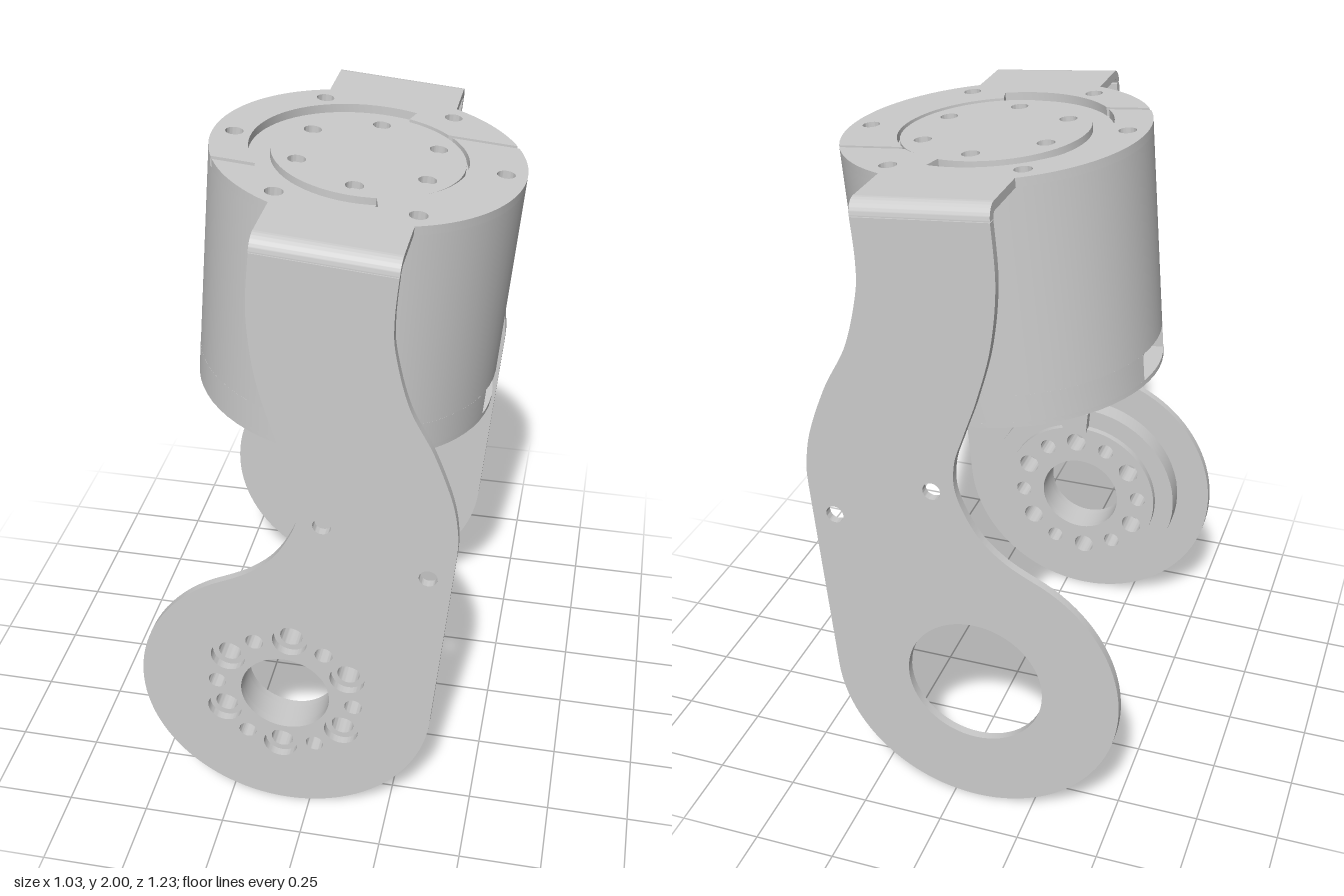
import * as THREE from 'three';
import { toCreasedNormals } from 'three/addons/utils/BufferGeometryUtils.js';

const material = new THREE.MeshStandardMaterial({ color: 0xcccccc });
const T = 0.026;                        // sheet thickness
const OUT = 0.613;                      // outer face of the side arms
const BEND = 0.043;                     // outer bend radius
const R = 0.45;                         // housing radius
const HALF = 0.195;                     // half width of the strap
const HUB = new THREE.Vector2(-0.07, 0.447);
const rad = THREE.MathUtils.degToRad;

const polar = (r, a, c = new THREE.Vector2()) =>
  new THREE.Vector2(c.x + r * Math.cos(a), c.y + r * Math.sin(a));

function arc(r, a0, a1, c, n = 32) {
  return Array.from({ length: n + 1 }, (_, i) => polar(r, a0 + (a1 - a0) * i / n, c));
}

function circle(r, c = new THREE.Vector2(), Type = THREE.Shape) {
  return new Type().absarc(c.x, c.y, r, 0, Math.PI * 2, false);
}

// Cuts round holes at the given angles (degrees) on a bolt circle
function drill(shape, r, boltR, angles, c) {
  for (const a of angles) shape.holes.push(circle(r, polar(boltR, rad(a), c), THREE.Path));
  return shape;
}

function slab(shape, depth) {
  return new THREE.ExtrudeGeometry(shape, { depth, bevelEnabled: false, curveSegments: 32 });
}

function add(parent, name, geometry) {
  const mesh = new THREE.Mesh(toCreasedNormals(geometry, 0.5), material);
  mesh.name = name;
  parent.add(mesh);
  return mesh;
}

// Slab lying flat between two heights
function layer(parent, name, shape, y0, y1) {
  return add(parent, name, slab(shape, y1 - y0).rotateX(-Math.PI / 2).translate(0, y0, 0));
}

// Outline of a side arm: curved neck running down to a round lobe
function armShape() {
  const v = (x, y) => new THREE.Vector2(x, y);
  const s = new THREE.Shape().moveTo(-0.133, 1.934);
  s.splineThru([v(-0.146, 1.76), v(-0.13, 1.58), v(-0.09, 1.42), v(-0.05, 1.30), v(-0.02, 1.20),
    v(-0.025, 1.10), v(-0.085, 0.98), v(-0.17, 0.90), polar(0.447, rad(118), HUB)]);
  s.absarc(HUB.x, HUB.y, 0.447, rad(118), rad(355), false);
  s.lineTo(0.433, 1.05);
  s.splineThru([v(0.434, 1.12), v(0.415, 1.23), v(0.36, 1.38), v(0.29, 1.52), v(0.25, 1.68),
    v(0.245, 1.78), v(0.255, 1.90)]);
  s.closePath();
  s.holes.push(circle(0.027, v(0.05, 1.10), THREE.Path), circle(0.027, v(0.355, 0.96), THREE.Path));
  return s;
}

// Half of the split top plate with its strap; slits at heights yR and yL
function topHalf(yR, yL, mirror, holeAngles) {
  const step = rad(75.5), inner = 0.285, outer = 0.34, strap = Math.acos(HALF / R);
  const pts = [
    ...arc(R, Math.asin(yR / R), strap),
    new THREE.Vector2(HALF, OUT - BEND), new THREE.Vector2(-HALF, OUT - BEND),
    ...arc(R, Math.PI - strap, Math.PI - Math.asin(yL / R)),
    ...arc(outer, Math.PI - Math.asin(yL / outer), step),
    ...arc(inner, step, Math.asin(yR / inner)),
  ];
  if (mirror) pts.forEach(p => { p.y *= -1; });
  return drill(new THREE.Shape(pts), 0.026, 0.39, holeAngles);
}

// Housing outline with pockets, each given as [angle, half width]
function pocketShape() {
  const pockets = [[-Math.PI / 2, 0.065], [0, 0.115], [Math.PI, 0.115]];
  const pts = [];
  pockets.forEach(([a, w], i) => {
    const h = Math.asin(w / R);
    const [na, nw] = pockets[i + 1] || [Math.PI * 1.5, pockets[0][1]];
    for (const side of [-w, w]) pts.push(new THREE.Vector2(0.39, side).rotateAround(new THREE.Vector2(), a));
    pts.push(...arc(R, a + h, na - Math.asin(nw / R)));
  });
  return new THREE.Shape(pts);
}

export function createModel() {
  const model = new THREE.Group();
  model.name = 'jointBracket';

  // Tilted motor housing and top plate
  const head = new THREE.Group();
  head.name = 'head';
  head.position.set(0.065, 1.962, 0);
  head.rotation.z = rad(-5);
  model.add(head);

  layer(head, 'housingBase', drill(circle(R), 0.02, 0.29, [180, 60, -60]), -0.735, -0.72);
  layer(head, 'housingPockets', pocketShape(), -0.72, -0.635);
  layer(head, 'housing', circle(R), -0.635, -T);
  layer(head, 'outputDisc', drill(circle(0.277), 0.026, 0.213, [30, 90, 150, 210, 270, 330]), -T, -0.005);
  layer(head, 'topPlateBack', topHalf(0.205, -0.187, false, [60, 120, 180]), -T, 0);
  layer(head, 'topPlateFront', topHalf(-0.19, 0.205, true, [0, -60, -120]), -T, 0);

  // Rounded bends from the strap into the arms
  for (const side of [1, -1]) {
    const bend = new THREE.Shape([
      ...arc(BEND, 0, Math.PI / 2), ...arc(BEND - T, Math.PI / 2, 0),
    ]);
    const g = slab(bend, HALF * 2).translate(0, 0, -HALF).rotateY(-side * Math.PI / 2);
    add(head, side > 0 ? 'frontBend' : 'backBend', g.translate(0, -BEND, side * (OUT - BEND)));
  }

  // Side arms: bolt pattern in front, plain bearing hole behind
  const large = [85, 145, 205, 265, 325, 25], small = large.map(a => a + 30);
  const front = armShape(), back = armShape();
  front.holes.push(circle(0.137, HUB, THREE.Path));
  drill(front, 0.053, 0.212, large, HUB);
  drill(front, 0.027, 0.212, small, HUB);
  back.holes.push(circle(0.212, HUB, THREE.Path));
  add(model, 'frontArm', slab(front, T)).position.z = OUT - T;
  add(model, 'backArm', slab(back, T)).position.z = -OUT;

  // Stepped flange inside the front arm
  const flange = (name, r, z0, z1) => {
    const s = circle(r, HUB);
    s.holes.push(circle(0.137, HUB, THREE.Path));
    drill(s, 0.034, 0.212, large, HUB);
    drill(s, 0.027, 0.212, small, HUB);
    add(model, name, slab(s, z1 - z0)).position.z = z0;
  };
  flange('flangeBase', 0.335, 0.52, OUT - T);
  flange('flangeStep', 0.27, 0.497, 0.52);

  // Stop tab on the flange rim
  const tab = new THREE.Shape([
    ...arc(0.335, rad(76), rad(94), HUB, 8), ...arc(0.262, rad(94), rad(76), HUB, 8),
  ]);
  add(model, 'stopTab', slab(tab, 0.035)).position.z = 0.487;

  return model;
}
